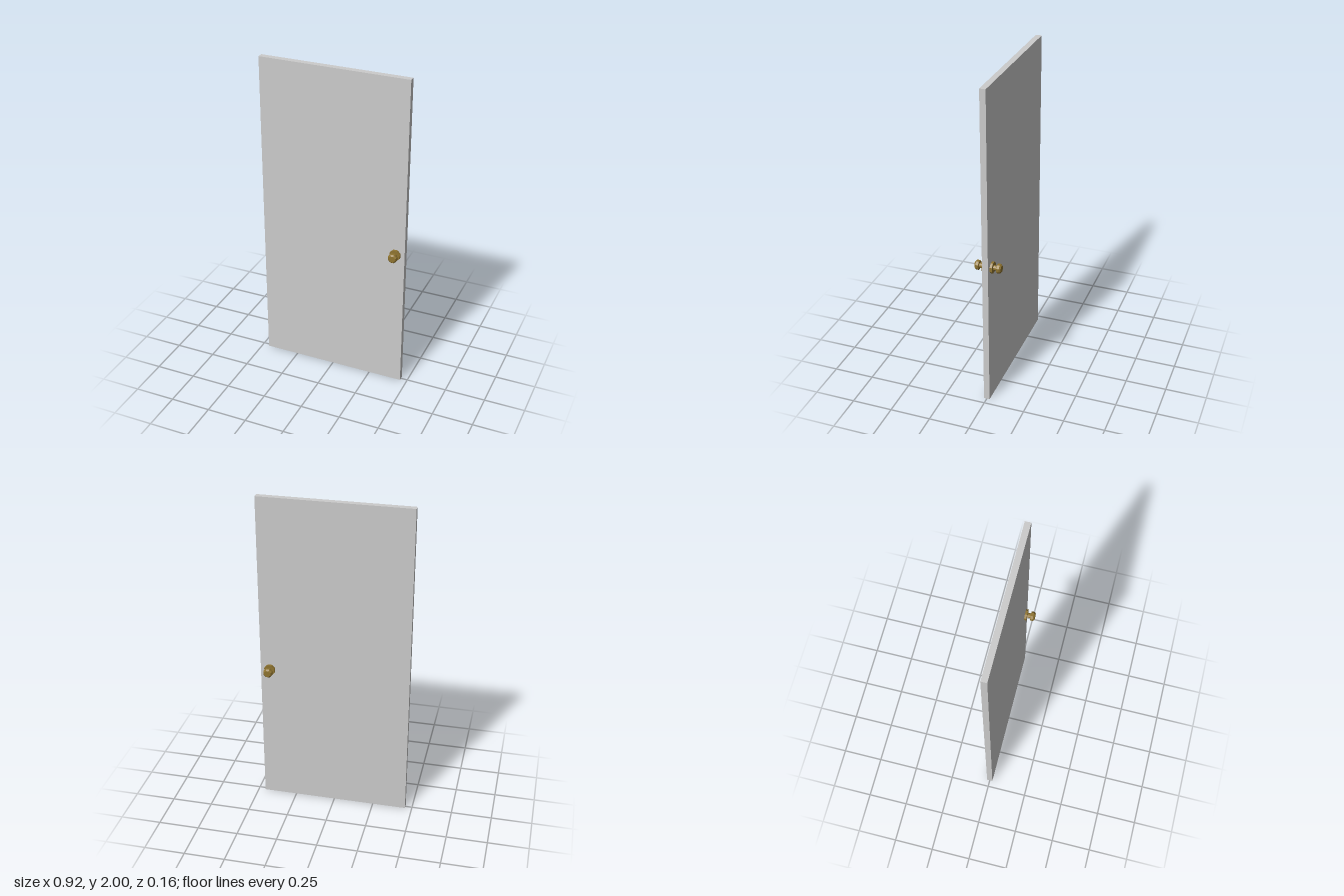
import * as THREE from 'three';

const SIDES = 8;

export function createModel() {
  const model = new THREE.Group();

  // Plain door slab
  const slab = new THREE.Mesh(
    new THREE.BoxGeometry(0.915, 2, 0.036),
    new THREE.MeshStandardMaterial({ color: 0xcccccc })
  );
  slab.name = 'doorPanel';
  slab.position.y = 1;
  model.add(slab);

  // Knob profile: rose plate, stem, bevelled grip (radius, distance from door centre)
  const profile = [
    [0, 0.017], [0.035, 0.017], [0.035, 0.032], [0.015, 0.032],
    [0.015, 0.053], [0.026, 0.053], [0.029, 0.056], [0.029, 0.071],
    [0.021, 0.08], [0, 0.08],
  ].map(([r, d]) => new THREE.Vector2(r, d));

  const brass = new THREE.MeshStandardMaterial({ color: 0x8f7430, flatShading: true });
  const knobGeometry = new THREE.LatheGeometry(profile, SIDES, Math.PI / SIDES);
  knobGeometry.rotateX(Math.PI / 2);

  // One knob on each face of the door
  for (const [name, turn] of [['frontKnob', 0], ['backKnob', Math.PI]]) {
    const knob = new THREE.Mesh(knobGeometry, brass);
    knob.name = name;
    knob.position.set(0.4, 0.9, 0);
    knob.rotation.y = turn;
    model.add(knob);
  }
  return model;
}
